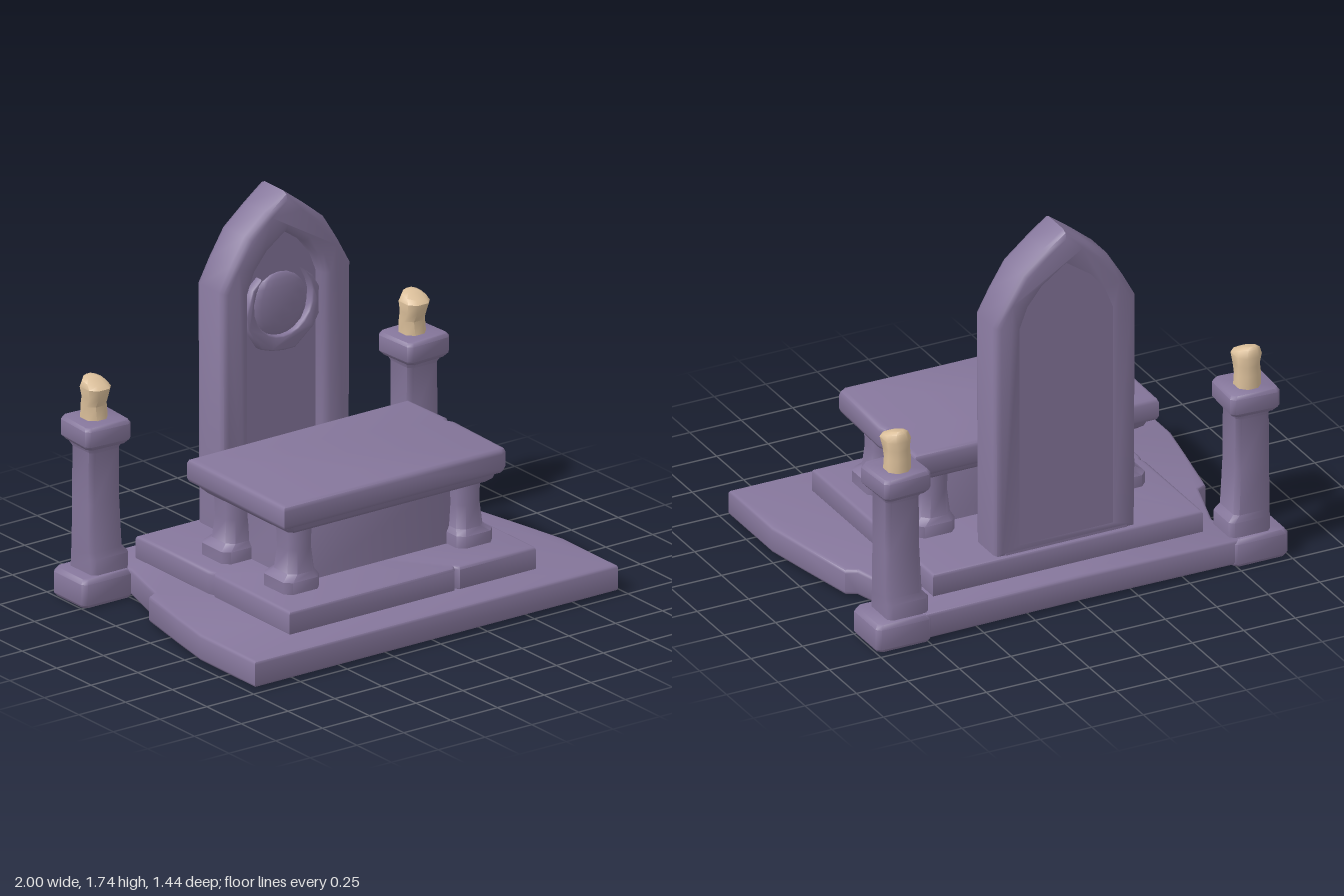
import * as THREE from 'three';
import { toCreasedNormals } from 'three/addons/utils/BufferGeometryUtils.js';

const stone = new THREE.MeshStandardMaterial({ color: 0x85769b });
stone.name = 'purple stone';
const wax = new THREE.MeshStandardMaterial({ color: 0xdcc09b });
wax.name = 'candle wax';

function add(parent, name, geometry, material = stone) {
  const mesh = new THREE.Mesh(toCreasedNormals(geometry, 0.9), material);
  mesh.name = name;
  parent.add(mesh);
  return mesh;
}

const toVectors = (points) => points.map(([x, y]) => new THREE.Vector2(x, y));

// Extrudes a shape from z0 to z1 with its bevel kept inside the outline
function extrude(shape, z0, z1, bevel) {
  const g = new THREE.ExtrudeGeometry(shape, {
    depth: z1 - z0 - 2 * bevel, bevelEnabled: bevel > 0, bevelThickness: bevel,
    bevelSize: bevel, bevelOffset: -bevel, bevelSegments: 2, curveSegments: 12,
  });
  return g.translate(0, 0, z0 + bevel);
}

// Horizontal slab from an outline of [x, z] points
function slab(outline, y0, y1, bevel) {
  const shape = new THREE.Shape(toVectors(outline.map(([x, z]) => [x, -z])));
  return extrude(shape, y0, y1, bevel).rotateX(-Math.PI / 2);
}

// Upright block from chamfered sections: [y, halfWidth, halfDepth, dx, dz, tilt]
function stack(sections, chamfer = 0.02) {
  const pos = [], index = [], n = 8;
  for (const [y, w, d, dx = 0, dz = 0, tilt = 0] of sections) {
    const c = Math.min(chamfer, w * 0.6, d * 0.6), a = w - c, b = d - c;
    const ring = [[w, b], [w, -b], [a, -d], [-a, -d], [-w, -b], [-w, b], [-a, d], [a, d]];
    for (const [x, z] of ring) pos.push(x + dx, y - z * tilt, z + dz);
  }
  for (let s = 0; s < sections.length - 1; s++) {
    for (let i = 0; i < n; i++) {
      const a = s * n + i, b = s * n + (i + 1) % n;
      index.push(a, b, b + n, a, b + n, a + n);
    }
  }
  const top = (sections.length - 1) * n;
  for (let i = 1; i < n - 1; i++) {
    index.push(0, i + 1, i, top, top + i, top + i + 1);
  }
  const g = new THREE.BufferGeometry();
  g.setAttribute('position', new THREE.Float32BufferAttribute(pos, 3));
  g.setIndex(index);
  g.computeVertexNormals();
  return g;
}

// Pointed arch outline from its right half, running from foot to apex
function arch(half) {
  const left = half.slice(0, -1).reverse().map(([x, y]) => [-x, y]);
  return toVectors([...half, ...left]);
}

function createPillar(side) {
  const pillar = new THREE.Group();
  pillar.name = side > 0 ? 'leftPillar' : 'rightPillar';
  add(pillar, 'plinth', stack([
    [0, 0.125, 0.11, side * 0.015], [0.015, 0.135, 0.12, side * 0.015],
    [0.11, 0.135, 0.12, side * 0.015], [0.13, 0.12, 0.11, side * 0.015],
  ]));
  add(pillar, 'shaft', stack([
    [0.12, 0.1, 0.093, -side * 0.02], [0.2, 0.1, 0.09, -side * 0.02],
    [0.23, 0.088, 0.082, -side * 0.005], [0.45, 0.083, 0.078],
    [0.69, 0.08, 0.08], [0.74, 0.105, 0.105],
  ]));
  add(pillar, 'cap', stack([
    [0.715, 0.1, 0.1], [0.735, 0.117, 0.115], [0.805, 0.117, 0.115], [0.82, 0.107, 0.105],
  ])).rotation.y = side * 0.06;
  add(pillar, 'candle', stack([
    [0.81, 0.054, 0.058, 0, -0.012], [0.88, 0.055, 0.05, 0, -0.015],
    [0.92, 0.052, 0.058, 0, -0.004], [0.965, 0.058, 0.065, side * 0.002, 0],
    [0.99, 0.05, 0.05, side * 0.004, -0.006, 0.2], [1.005, 0.027, 0.025, side * 0.006, -0.02, 0.2],
  ], 0.03), wax);
  pillar.position.set(side * 0.85, 0, -0.6);
  return pillar;
}

function createTable() {
  const table = new THREE.Group();
  table.name = 'altarTable';
  // Top with small chips along its edges
  add(table, 'tableTop', slab([
    [-0.6, 0.43], [-0.59, -0.29], [0.2, -0.295], [0.595, -0.295], [0.605, -0.02],
    [0.59, 0.0], [0.605, 0.03], [0.595, 0.41], [0.56, 0.435], [0.1, 0.43],
  ], 0.555, 0.667, 0.022));
  add(table, 'tableMoulding', stack([
    [0.515, 0.53, 0.31, 0, 0.07], [0.535, 0.55, 0.335, 0, 0.07], [0.57, 0.565, 0.345, 0, 0.07],
  ]));
  add(table, 'tableCore', stack([[0.22, 0.42, 0.225, 0, 0.07], [0.53, 0.41, 0.22, 0, 0.07]]));
  for (const x of [-0.45, 0.45]) {
    for (const z of [-0.155, 0.295]) {
      const out = Math.sign(x) * 0.012;
      const leg = add(table, 'tableLeg', stack([
        [0.22, 0.095, 0.1, out], [0.29, 0.095, 0.1, out], [0.315, 0.07, 0.08],
        [0.42, 0.061, 0.07], [0.53, 0.065, 0.072],
      ], 0.03));
      leg.position.set(x, 0, z);
    }
  }
  return table;
}

function createHeadstone() {
  const headstone = new THREE.Group();
  headstone.name = 'archedHeadstone';
  const outer = [[0.34, 0.22], [0.345, 1.34], [0.285, 1.45], [0.21, 1.57], [0.1, 1.66], [0, 1.735]];
  const inner = [[0.2, 0.3], [0.2, 1.31], [0.165, 1.4], [0.1, 1.48], [0, 1.55]];
  const frame = new THREE.Shape(arch(outer));
  frame.holes.push(new THREE.Path(arch(inner).reverse()));
  add(headstone, 'archFrame', extrude(frame, -0.56, -0.362, 0.03));
  const panel = outer.map(([x, y]) => [x * 0.87, 0.23 + (y - 0.23) * 0.94]);
  add(headstone, 'archPanel', extrude(new THREE.Shape(arch(panel)), -0.559, -0.43, 0));

  // Round relief: broken ring with horns around a low boss
  const ring = [];
  const steps = 16;
  for (let i = 0; i <= steps; i++) {
    const a = Math.PI * (0.7 + 1.6 * i / steps);
    const r = 0.197 + 0.007 * Math.sin(i * 2.3);
    ring.push([r * Math.cos(a), 1.19 + r * Math.sin(a)]);
  }
  for (let i = steps - 1; i > 0; i--) {
    const a = Math.PI * (0.7 + 1.6 * i / steps);
    const r = 0.185 - 0.06 * Math.sin(Math.PI * i / steps);
    ring.push([r * Math.cos(a), 1.19 + r * Math.sin(a)]);
  }
  add(headstone, 'reliefRing', extrude(new THREE.Shape(toVectors(ring)), -0.44, -0.39, 0.008));
  add(headstone, 'reliefBoss', new THREE.SphereGeometry(1, 16, 10)
    .scale(0.15, 0.15, 0.03).translate(0, 1.2, -0.428));
  return headstone;
}

export function createModel() {
  const model = new THREE.Group();
  model.name = 'stoneAltar';

  // Ground slab, narrowing towards the back, with a notch on each side
  const half = [
    [0.97, 0.72], [0.97, 0.32], [0.93, 0.1], [0.875, -0.18], [0.83, -0.205],
    [0.75, -0.48], [0.78, -0.71],
  ];
  const mirrored = half.slice().reverse().map(([x, z]) => [-x, z]);
  add(model, 'groundSlab', slab([...half, [0, -0.7], ...mirrored], 0.01, 0.132, 0.015));

  // Raised step with a cracked front edge
  add(model, 'step', slab([
    [-0.66, 0.55], [-0.655, 0.0], [-0.645, -0.02], [-0.655, -0.05], [-0.655, -0.575],
    [0.655, -0.575], [0.655, 0.55], [0.25, 0.55], [0.235, 0.53], [0.22, 0.55],
  ], 0.12, 0.236, 0.015));

  model.add(createTable(), createHeadstone(), createPillar(1), createPillar(-1));
  return model;
}
